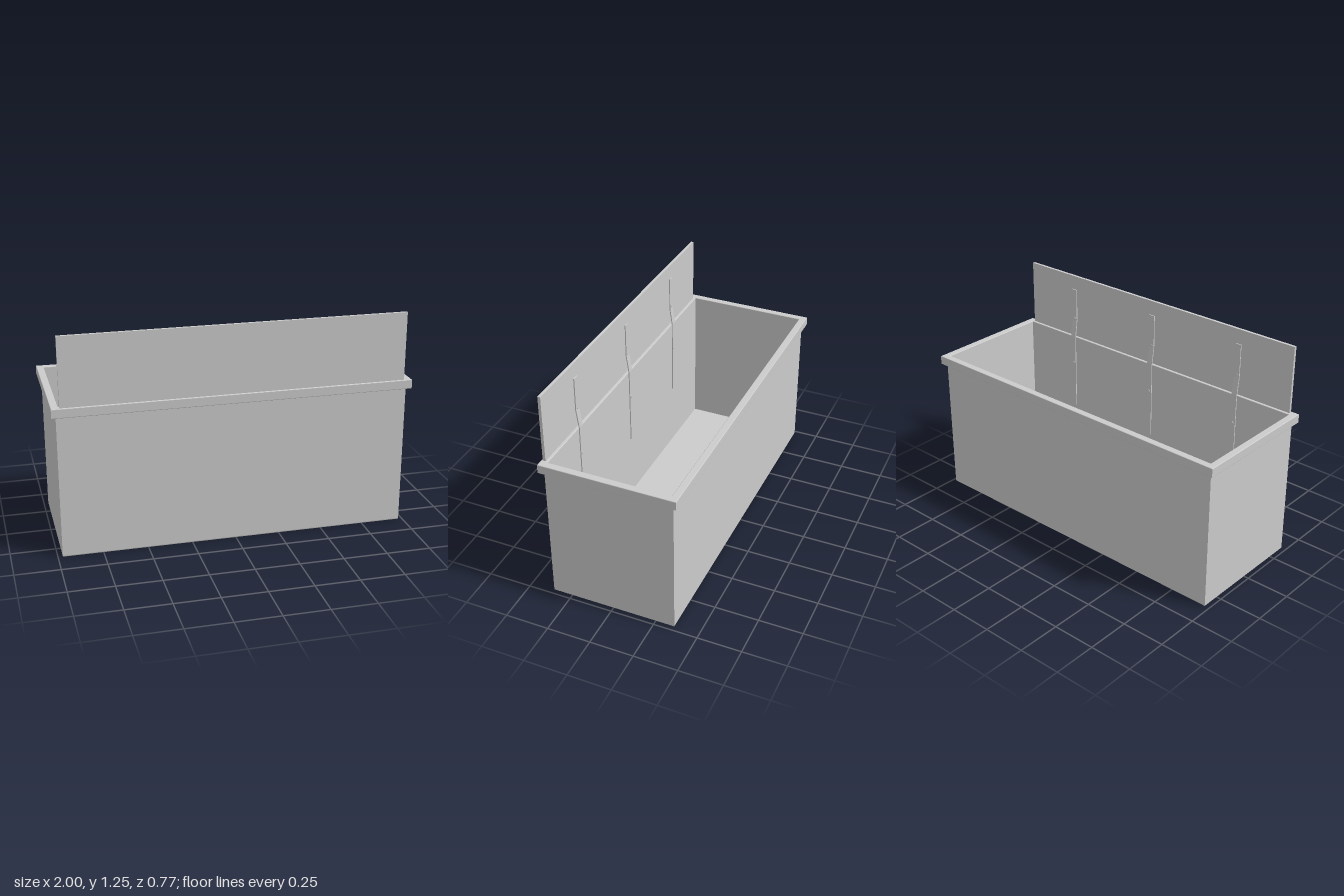
import * as THREE from 'three';

const material = new THREE.MeshStandardMaterial({ color: 0xcccccc, side: THREE.DoubleSide });

function rectPoints(w, d) {
  return [[-w, -d], [w, -d], [w, d], [-w, d]].map(([x, y]) => new THREE.Vector2(x, y));
}

// Horizontal slab from y0 to y1 with half sizes w, d, an optional opening and bevelled edges
function slab(name, w, d, y0, y1, bevel = 0, hole = null) {
  const shape = new THREE.Shape(rectPoints(w - bevel, d - bevel));
  if (hole) shape.holes.push(new THREE.Path(rectPoints(hole[0] + bevel, hole[1] + bevel).reverse()));
  const geo = new THREE.ExtrudeGeometry(shape, {
    depth: y1 - y0 - 2 * bevel,
    bevelEnabled: bevel > 0,
    bevelThickness: bevel,
    bevelSize: bevel,
    bevelSegments: 3,
  });
  geo.rotateX(-Math.PI / 2).translate(0, y0 + bevel, 0);
  const mesh = new THREE.Mesh(geo, material);
  mesh.name = name;
  return mesh;
}

// Bent flat strap holding the panel, with screw heads on its inner face
function bracket(x) {
  const group = new THREE.Group();
  group.name = 'panelBracket';
  const t = 0.006, width = 0.035;
  const path = [[0.345, 0.4], [0.345, 0.863], [0.36, 0.97], [0.36, 1.165]];
  const outline = [...path, ...path.map(([z, y]) => [z - t, y]).reverse()];
  const geo = new THREE.ExtrudeGeometry(
    new THREE.Shape(outline.map(([z, y]) => new THREE.Vector2(z, y))),
    { depth: width, bevelEnabled: false },
  );
  geo.translate(0, 0, -width / 2).rotateY(-Math.PI / 2);
  const strap = new THREE.Mesh(geo, material);
  strap.name = 'strap';
  group.add(strap);
  for (const [y, z] of [[0.98, 0.353], [0.69, 0.338]]) {
    const screw = new THREE.Mesh(new THREE.CylinderGeometry(0.008, 0.008, 0.004, 16), material);
    screw.name = 'screwHead';
    screw.rotation.x = Math.PI / 2;
    screw.position.set(0, y, z);
    group.add(screw);
  }
  group.position.x = x;
  return group;
}

export function createModel() {
  const model = new THREE.Group();
  model.name = 'troughWithPanel';

  // Open box: floor with softened edges and four walls
  model.add(slab('floor', 0.975, 0.36, 0, 0.018, 0.008));
  model.add(slab('walls', 0.975, 0.36, 0.009, 0.82, 0, [0.96, 0.345]));

  // Overhanging rim around the opening
  model.add(slab('rim', 1, 0.385, 0.81, 0.863, 0.004, [0.96, 0.345]));

  // Upright panel along the front edge
  const panel = new THREE.Mesh(new THREE.BoxGeometry(1.91, 0.389, 0.016), material);
  panel.name = 'frontPanel';
  panel.position.set(0, 1.0555, 0.368);
  model.add(panel);

  for (const x of [-0.605, 0, 0.605]) model.add(bracket(x));
  return model;
}
